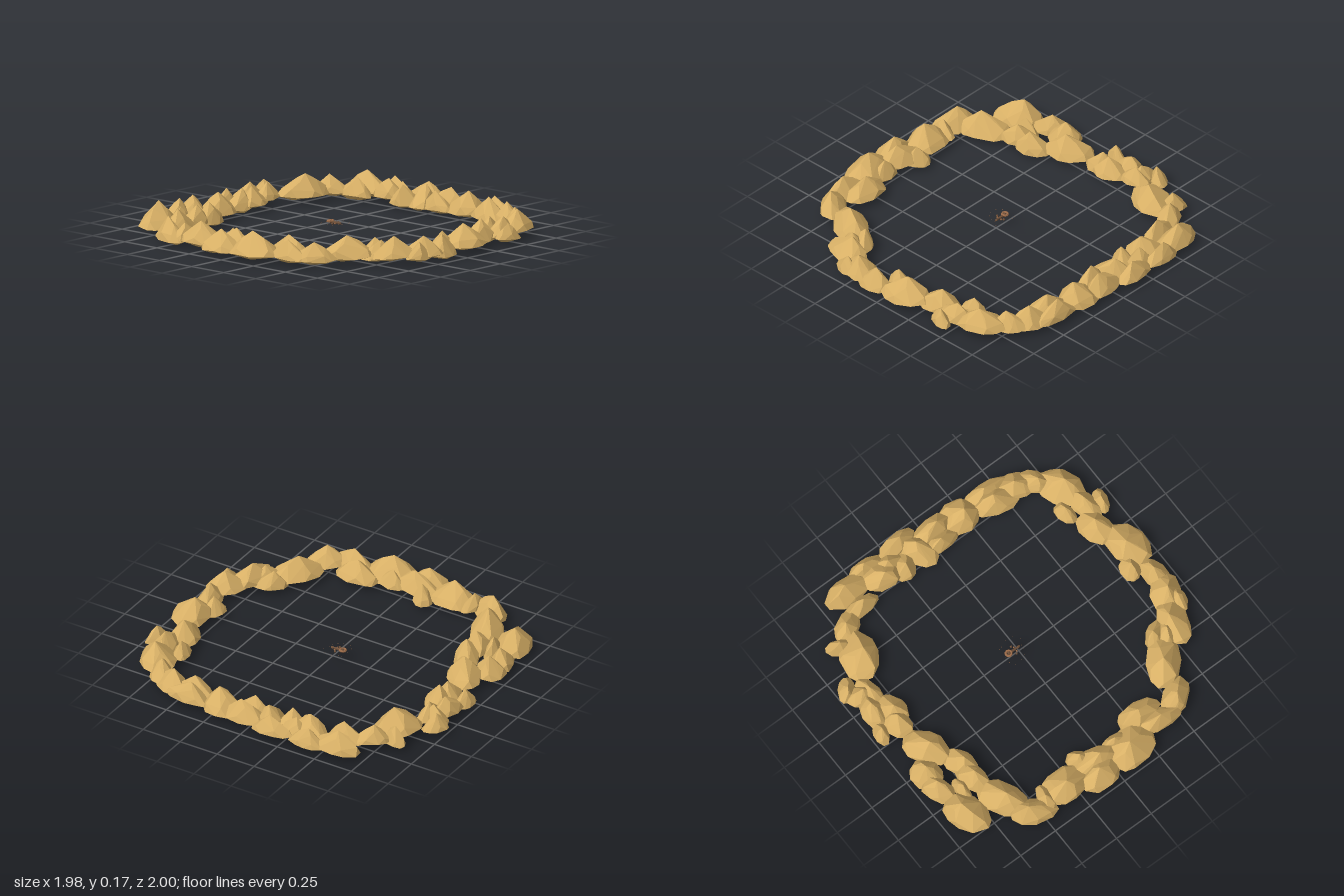
import * as THREE from 'three';
import { ConvexGeometry } from 'three/addons/geometries/ConvexGeometry.js';

// seeded random numbers
let seed = 7;
const rnd = (lo = 0, hi = 1) => {
  seed = (seed * 16807) % 2147483647;
  return lo + (hi - lo) * (seed / 2147483647);
};

const sandstone = new THREE.MeshStandardMaterial({ color: 0xd8b066, flatShading: true });
const darkBrown = new THREE.MeshStandardMaterial({ color: 0x6b4e38, flatShading: true });
const redBrown = new THREE.MeshStandardMaterial({ color: 0x9a6a48, flatShading: true });

// each boulder: x, z, half length, half width, turn in degrees
const SIDES = {
  backRocks: [
    [-.62, -.84, .15, .105, 20], [-.41, -.89, .11, .07, 25], [-.29, -.89, .10, .09, 20],
    [-.48, -.78, .08, .04, 0], [-.66, -.63, .16, .10, 28], [-.47, -.69, .11, .075, 20],
    [-.34, -.69, .11, .075, 25], [-.16, -.79, .15, .10, 28], [.05, -.83, .10, .075, 15],
    [.15, -.80, .11, .075, 20], [.07, -.94, .075, .045, -15], [.20, -.90, .11, .07, -15],
    [.32, -.90, .09, .06, 75], [.40, -.94, .08, .05, -40], [.52, -.76, .16, .115, -22],
    [.63, -.81, .085, .05, 65], [.70, -.70, .11, .07, -55], [.31, -.84, .10, .055, 10],
  ],
  leftRocks: [
    [.87, -.57, .15, .085, 92], [.75, -.57, .12, .055, 92], [.92, -.39, .12, .055, 85],
    [.83, -.37, .12, .09, 70], [.80, -.22, .09, .07, -30], [.93, -.17, .13, .06, 95],
    [.82, -.10, .13, .08, 25], [.88, .04, .14, .07, 95], [.79, .05, .11, .055, 90],
    [.85, .21, .125, .105, 85], [.87, .44, .15, .06, 85], [.79, .44, .14, .08, 75],
    [.80, .59, .12, .08, 60], [.76, .68, .11, .07, 40], [.86, -.27, .09, .06, 80],
  ],
  frontRocks: [
    [.63, .78, .15, .105, 28], [.49, .71, .08, .05, 10], [.43, .92, .08, .045, -15],
    [.31, .80, .13, .085, 22], [.12, .885, .155, .11, 12], [0, .80, .08, .06, -10],
    [-.11, .90, .11, .07, 5], [-.24, .87, .12, .09, -40], [-.42, .80, .15, .09, -15],
    [-.32, .91, .08, .05, -15], [-.57, .61, .165, .10, -35], [-.41, .68, .10, .06, -55],
    [.46, .83, .12, .07, 10], [-.46, .71, .10, .06, -30],
  ],
  rightRocks: [
    [-.78, .53, .13, .075, -55], [-.83, .38, .15, .065, 85], [-.74, .30, .14, .08, 88],
    [-.87, .15, .16, .12, -80], [-.79, .11, .10, .05, 80], [-.90, -.09, .135, .085, -85],
    [-.81, -.08, .15, .08, 80], [-.75, -.14, .08, .06, 40], [-.82, -.30, .15, .105, 90],
    [-.84, -.53, .14, .08, 65], [-.82, -.43, .09, .05, -10],
  ],
};

// a faceted boulder: jittered rings that swell low down and narrow to a sharp peak
function boulder([x, z, a, b, deg]) {
  const h = 0.095 + 0.57 * Math.sqrt(a * b);
  const base = rnd(.002, 0.03);
  const px = rnd(-.3, .3), pz = rnd(-.25, .25);
  const rings = [[.6, 0, 6], [1.04, .12, 10], [.88, .38, 5], [.45, .7, 3]];
  const pts = [new THREE.Vector3(px * a, h, pz * b), new THREE.Vector3(0, base, 0)];
  for (const [r, level, n] of rings) {
    const start = rnd(0, 6.28);
    for (let i = 0; i < n; i++) {
      const t = start + (i + rnd(-.25, .25)) / n * Math.PI * 2;
      const k = r * rnd(.95, 1.02);
      const y = base + (h - base) * (level + rnd(0, .08));
      pts.push(new THREE.Vector3((k * Math.cos(t) + px * level) * a, y, (k * Math.sin(t) + pz * level) * b));
    }
  }
  const mesh = new THREE.Mesh(new ConvexGeometry(pts), sandstone);
  mesh.position.set(x, 0, z);
  mesh.rotation.y = THREE.MathUtils.degToRad(deg);
  mesh.name = 'boulder';
  return mesh;
}

// tiny cluster floating in the middle of the ring
function centrepiece() {
  const g = new THREE.Group();
  g.name = 'centrepiece';
  g.position.set(.004, .062, -.035);
  const add = (name, geo, mat, x, y, z) => {
    const m = new THREE.Mesh(geo, mat);
    m.name = name;
    m.position.set(x, y, z);
    g.add(m);
    return m;
  };
  add('hoop', new THREE.TorusGeometry(.017, .007, 6, 10), redBrown, 0, .004, -.035).rotation.x = Math.PI / 2;
  add('core', new THREE.IcosahedronGeometry(.012), darkBrown, 0, .001, -.032);
  add('stem', new THREE.CylinderGeometry(.006, .009, .045, 6), darkBrown, 0, 0, .005).rotation.x = Math.PI / 2;
  add('tip', new THREE.IcosahedronGeometry(.011), darkBrown, 0, -.001, .034).scale.set(.8, .8, 1.3);
  for (const s of [-1, 1]) {
    add('sideStone', new THREE.IcosahedronGeometry(.008), darkBrown, s * .026, -.003, .002);
    add('smallStone', new THREE.IcosahedronGeometry(.006), redBrown, s * .014, -.003, .012);
  }
  // loose specks around it
  for (let i = 0; i < 12; i++) {
    const t = i / 12 * Math.PI * 2 + rnd(-.2, .2), r = rnd(.05, .088);
    add('speck', new THREE.OctahedronGeometry(.0025), redBrown, r * Math.cos(t), -.003, r * Math.sin(t));
  }
  return g;
}

export function createModel() {
  seed = 7;
  const model = new THREE.Group();
  model.name = 'rockRing';
  for (const [name, rows] of Object.entries(SIDES)) {
    const side = new THREE.Group();
    side.name = name;
    rows.forEach((row) => side.add(boulder(row)));
    model.add(side);
  }
  model.add(centrepiece());
  return model;
}
